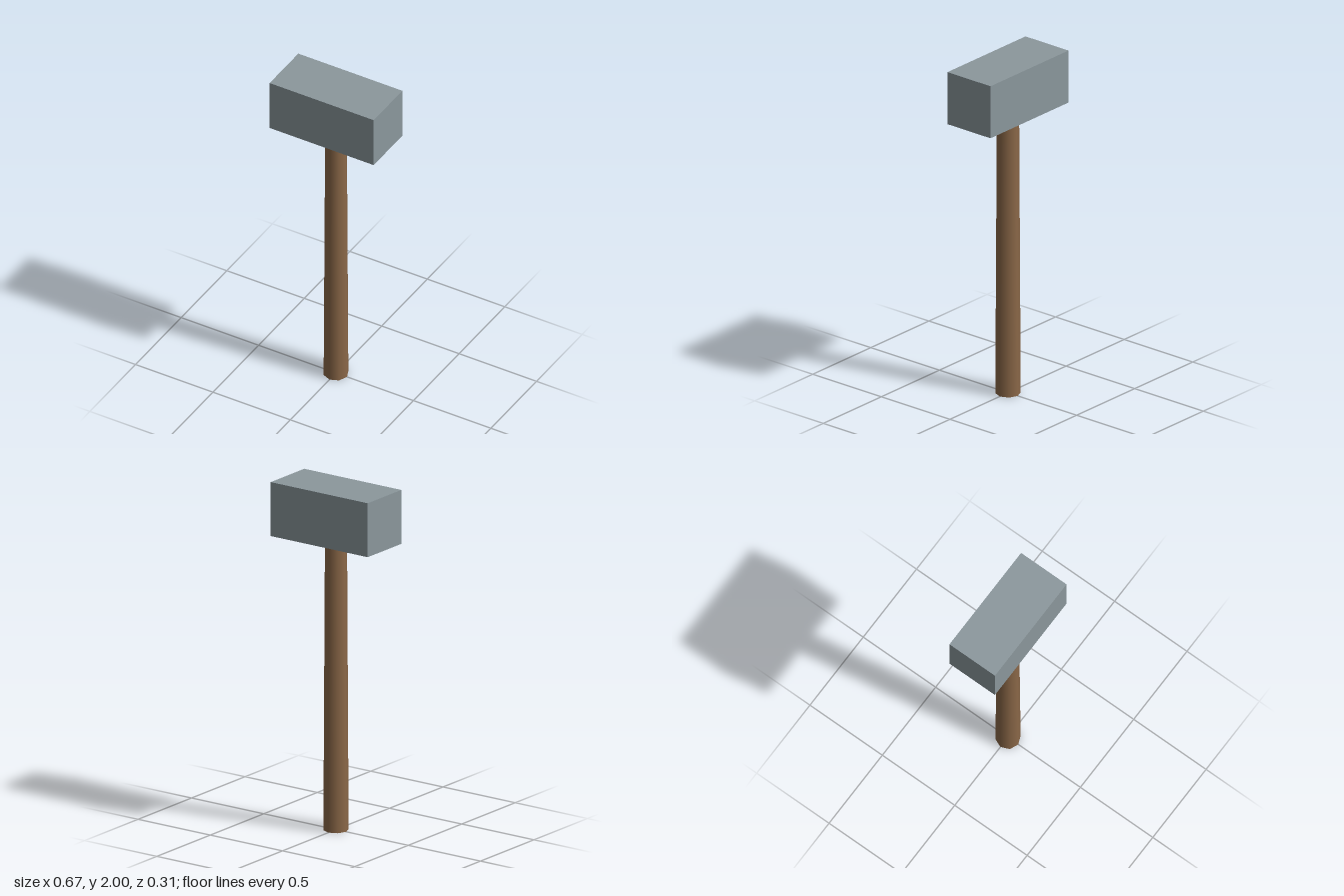
import * as THREE from 'three';

export function createModel() {
  const group = new THREE.Group();
  const steel = new THREE.MeshStandardMaterial({ color: 0x8b979c });
  steel.name = 'greySteel';
  const wood = new THREE.MeshStandardMaterial({ color: 0x8b6848 });
  wood.name = 'brownWood';

  const add = (name, geometry, material, y) => {
    const mesh = new THREE.Mesh(geometry, material);
    mesh.name = name;
    mesh.position.y = y;
    group.add(mesh);
  };

  // Block head
  const headHeight = 0.314;
  add('head', new THREE.BoxGeometry(0.672, headHeight, 0.314), steel, 2 - headHeight / 2);

  // Eight-sided handle, slightly thicker at the grip, set into the head
  const handleHeight = 1.75;
  add('handle', new THREE.CylinderGeometry(0.062, 0.071, handleHeight, 8), wood, handleHeight / 2);

  return group;
}
